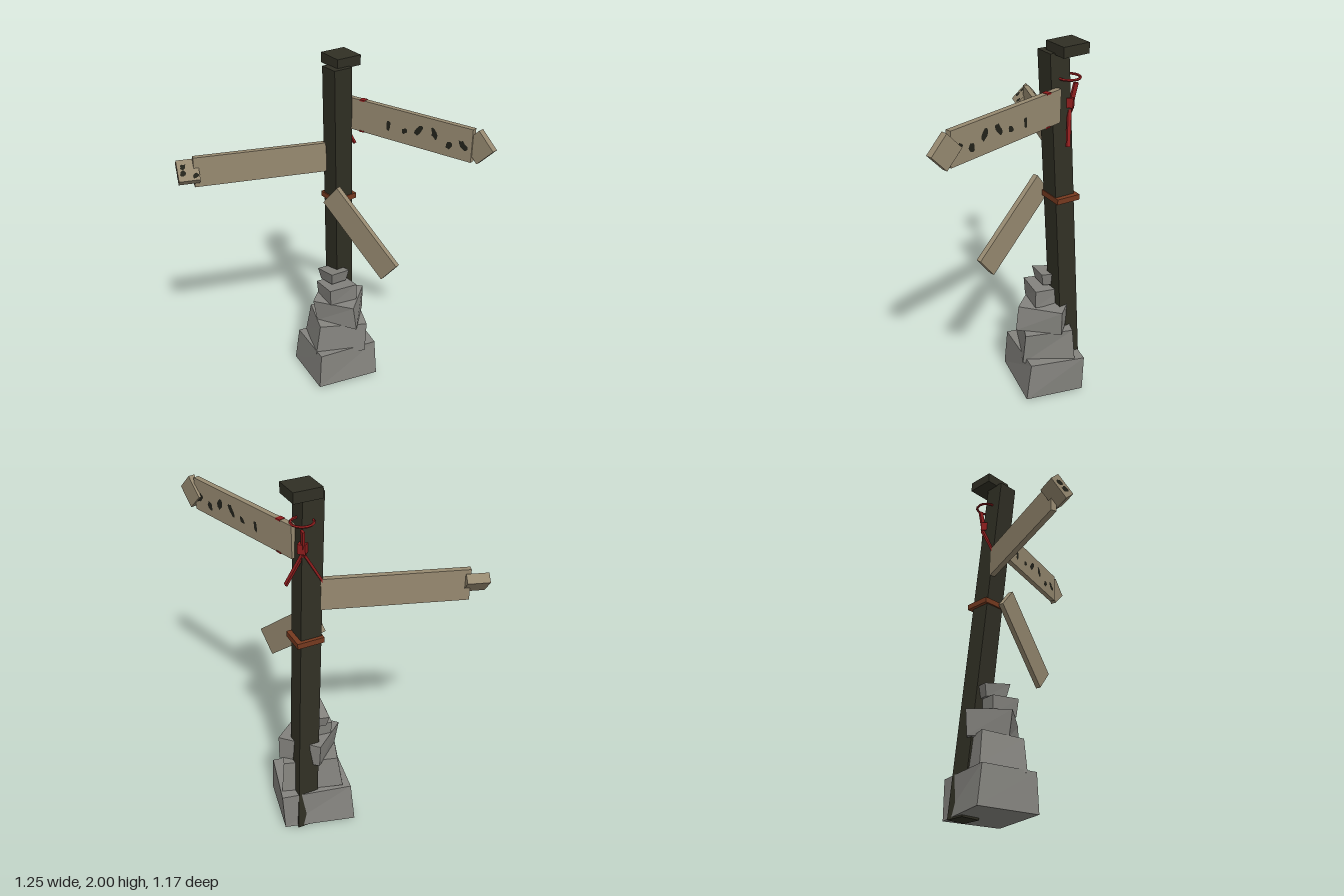
import * as THREE from 'three';

export function createModel() {
  const model = new THREE.Group();
  const mat = (name, color, side = THREE.FrontSide) => {
    const m = new THREE.MeshStandardMaterial({ color, side });
    m.name = name;
    m.flatShading = true;
    return m;
  };
  const wood = mat('weatheredWood', 0x968970);
  const darkWood = mat('darkWood', 0x302f24);
  const stone = mat('greyStone', 0x84837e);
  const red = mat('redCloth', 0x8e1d1d, THREE.DoubleSide);
  const rust = mat('rustyStrap', 0x75391f);
  const paint = mat('blackPaint', 0x22221a, THREE.DoubleSide);

  const add = (name, geo, material, parent = model) => {
    const mesh = new THREE.Mesh(geo, material);
    mesh.name = name;
    parent.add(mesh);
    return mesh;
  };
  const box = (name, size, pos, material, parent) => {
    const mesh = add(name, new THREE.BoxGeometry(...size), material, parent);
    mesh.position.set(...pos);
    return mesh;
  };

  // Block between two quads; corners run back-left, back-right, front-right, front-left
  function block(name, y0, y1, bottom, top, material, tilt = 0) {
    const geo = new THREE.BoxGeometry(1, 1, 1);
    const p = geo.attributes.position;
    const midX = top.reduce((s, c) => s + c[0] / 4, 0);
    for (let i = 0; i < p.count; i++) {
      const right = p.getX(i) > 0, front = p.getZ(i) > 0, up = p.getY(i) > 0;
      const [x, z] = (up ? top : bottom)[front ? (right ? 2 : 3) : (right ? 1 : 0)];
      p.setXYZ(i, x, (up ? y1 : y0) + tilt * (x - midX), z);
    }
    geo.computeVertexNormals();
    return add(name, geo, material);
  }
  const square = (x, z, h) => [[x - h, z - h], [x + h, z - h], [x + h, z + h], [x - h, z + h]];

  // Stacked stones around the foot of the post
  block('baseStone', 0.012, 0.23,
    [[-0.355, -0.465], [-0.025, -0.4], [-0.105, -0.03], [-0.46, -0.09]],
    [[-0.35, -0.475], [-0.05, -0.4], [-0.11, -0.045], [-0.43, -0.1]], stone, 0.02);
  block('secondStone', 0.22, 0.405,
    [[-0.3, -0.455], [-0.045, -0.32], [-0.17, -0.05], [-0.41, -0.14]],
    [[-0.29, -0.435], [-0.05, -0.335], [-0.17, -0.08], [-0.385, -0.16]], stone, -0.08);
  block('thirdStone', 0.4, 0.54,
    [[-0.22, -0.43], [-0.04, -0.25], [-0.245, -0.11], [-0.39, -0.27]],
    [[-0.22, -0.43], [-0.06, -0.24], [-0.25, -0.085], [-0.405, -0.27]], stone, -0.06);
  block('fourthStone', 0.53, 0.63,
    [[-0.29, -0.33], [-0.125, -0.31], [-0.16, -0.15], [-0.31, -0.165]],
    [[-0.3, -0.325], [-0.125, -0.31], [-0.155, -0.14], [-0.32, -0.16]], stone, 0.1);
  block('topStone', 0.635, 0.705,
    [[-0.315, -0.29], [-0.19, -0.28], [-0.2, -0.185], [-0.33, -0.2]],
    [[-0.33, -0.3], [-0.175, -0.29], [-0.185, -0.175], [-0.35, -0.19]], stone, 0.22);

  // Leaning post with its cap and strap
  block('post', 0, 1.95, square(-0.327, -0.342, 0.056), square(-0.235, -0.237, 0.056), darkWood);
  box('postCap', [0.15, 0.055, 0.15], [-0.28, 1.972, -0.293], darkWood).rotation.z = -0.03;
  box('strap', [0.136, 0.03, 0.146], [-0.278, 1.18, -0.287], rust);

  // Board running from one ground point to another, its local x along the length
  function board(name, from, to, y, height, thick) {
    const dx = to[0] - from[0], dz = to[1] - from[1];
    const length = Math.hypot(dx, dz);
    const g = new THREE.Group();
    g.name = name;
    g.position.set((from[0] + to[0]) / 2, y, (from[1] + to[1]) / 2);
    g.rotation.y = Math.atan2(-dz, dx);
    model.add(g);
    box(name + 'Plank', [length, height, thick], [0, 0, 0], wood, g);
    return { g, length };
  }

  // Irregular worn paint blot
  let seed = 7;
  const rand = () => (seed = (seed * 16807) % 2147483647) / 2147483647;
  function blotGeometry(w, h, slant) {
    const pts = [];
    for (let i = 0; i < 11; i++) {
      const a = (i / 11) * Math.PI * 2, r = 0.6 + 0.4 * rand();
      const y = Math.sin(a) * r * h / 2;
      pts.push(new THREE.Vector2(Math.cos(a) * r * w / 2 + y * slant, y));
    }
    return new THREE.ShapeGeometry(new THREE.Shape(pts));
  }

  // Upper sign with paint blots on both faces and a diamond tip
  const upper = board('upperSign', [-0.225, -0.312], [0.505, -0.532], 1.69, 0.175, 0.03);
  const blots = [[0.03, 1.68, 0.03, 0.07, 0.1], [0.13, 1.675, 0.04, 0.04, 0.3],
    [0.21, 1.7, 0.05, 0.075, 0.6], [0.3, 1.7, 0.045, 0.075, -0.3],
    [0.38, 1.665, 0.045, 0.055, 0.2], [0.46, 1.68, 0.05, 0.065, -0.5]];
  for (const [x, y, w, h, slant] of blots) {
    for (const side of [-1, 1]) {
      const blot = add('paintBlot', blotGeometry(w, h, slant), paint, upper.g);
      blot.position.set((x - 0.14) / 0.957, y - 1.69, side * 0.0165);
    }
  }
  for (const side of [-1, 1]) {
    box('clothScrap', [0.032, 0.008, 0.034], [-0.286, side * 0.086, 0], red, upper.g);
  }
  const upperTip = new THREE.Group();
  upperTip.name = 'upperSignTip';
  upperTip.position.set(0.533, 1.69, -0.548);
  upperTip.rotation.y = 0.22;
  model.add(upperTip);
  box('diamond', [0.125, 0.125, 0.034], [0, 0, 0], wood, upperTip).rotation.z = 0.8;

  // Middle sign with a block tip turned about its length
  const middle = board('middleSign', [-0.305, -0.215], [-0.545, 0.483], 1.425, 0.17, 0.03);
  const tip = new THREE.Group();
  tip.name = 'middleSignTip';
  tip.position.set(middle.length / 2 + 0.03, 0.004, 0);
  tip.rotation.x = -0.82;
  middle.g.add(tip);
  box('tipBlock', [0.115, 0.052, 0.122], [0, 0, 0], wood, tip);
  for (const [x, z] of [[0.025, 0.02], [0.03, -0.015], [-0.035, -0.035]]) {
    const blot = add('paintBlot', blotGeometry(0.04, 0.035, 0.2), paint, tip);
    blot.position.set(x, 0.0275, z);
    blot.rotation.x = -Math.PI / 2;
  }
  for (const z of [-0.02, 0.022]) {
    const blot = add('paintBlot', blotGeometry(0.04, 0.035, 0.2), paint, tip);
    blot.position.set(0.059, 0, z);
    blot.rotation.y = Math.PI / 2;
  }

  // Lower sign, slipped and hanging at a slant
  const lower = new THREE.Group();
  lower.name = 'lowerSign';
  lower.position.set(-0.017, 1.055, -0.247);
  lower.rotation.y = 0.26;
  model.add(lower);
  box('lowerSignPlank', [0.543, 0.152, 0.028], [0, 0, 0], wood, lower).rotation.z = -0.69;

  // Red cloth tied round the post: ring, knot and two loose tails
  const ring = add('clothRing', new THREE.TorusGeometry(0.056, 0.007, 5, 14), red);
  ring.rotation.x = Math.PI / 2;
  ring.position.set(-0.292, 1.82, -0.298);
  const tail = (a, b, width) => {
    const start = new THREE.Vector3(...a), end = new THREE.Vector3(...b);
    const mesh = add('clothTail', new THREE.BoxGeometry(width, start.distanceTo(end), 0.012), red);
    mesh.position.copy(start).lerp(end, 0.5);
    mesh.quaternion.setFromUnitVectors(new THREE.Vector3(0, 1, 0), start.clone().sub(end).normalize());
  };
  box('clothKnot', [0.04, 0.05, 0.04], [-0.3, 1.69, -0.302], red).rotation.y = Math.PI / 4;
  tail([-0.3, 1.66, -0.3], [-0.25, 1.485, -0.372], 0.02);
  tail([-0.315, 1.66, -0.3], [-0.312, 1.49, -0.205], 0.02);
  tail([-0.325, 1.79, -0.312], [-0.302, 1.66, -0.302], 0.025);

  return model;
}
